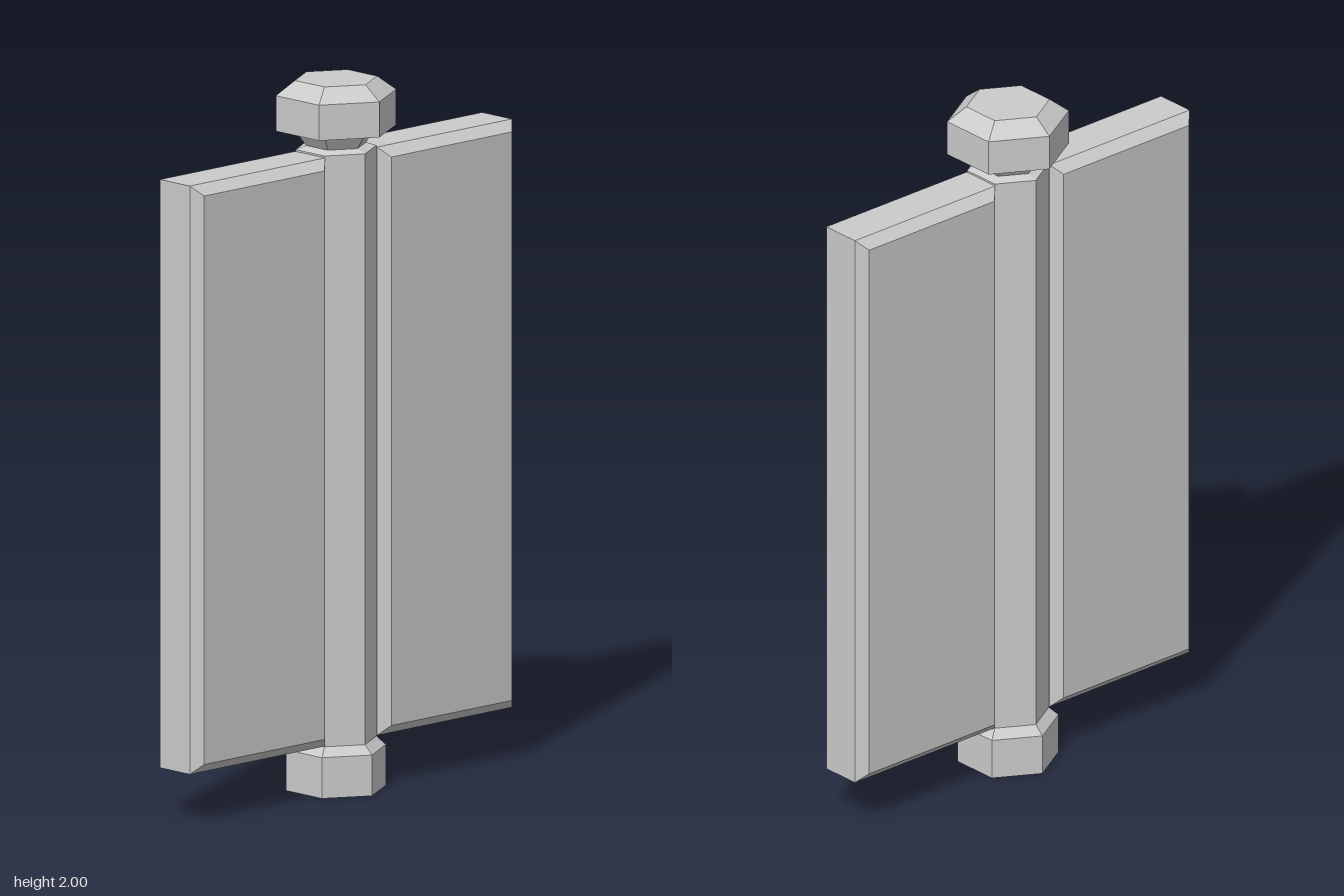
import * as THREE from 'three';

const material = new THREE.MeshStandardMaterial({ color: 0xcccccc, flatShading: true });

// Six-sided turned part from [radius, y] pairs, bottom to top
function hexTurned(name, profile) {
  const points = profile.map(([r, y]) => new THREE.Vector2(r, y));
  const mesh = new THREE.Mesh(new THREE.LatheGeometry(points, 6), material);
  mesh.name = name;
  return mesh;
}

// Flat plate with a mitred chamfer around both faces
function plate(name, x0, x1, y0, y1, depth, bevel) {
  const shape = new THREE.Shape();
  shape.moveTo(x0 + bevel, y0 + bevel);
  shape.lineTo(x1 - bevel, y0 + bevel);
  shape.lineTo(x1 - bevel, y1 - bevel);
  shape.lineTo(x0 + bevel, y1 - bevel);
  shape.closePath();
  const core = depth - 2 * bevel;
  const geometry = new THREE.ExtrudeGeometry(shape, {
    depth: core, bevelEnabled: true, bevelSize: bevel, bevelThickness: bevel, bevelSegments: 1,
  });
  geometry.translate(0, 0, -core / 2);
  const mesh = new THREE.Mesh(geometry, material);
  mesh.name = name;
  return mesh;
}

export function createModel() {
  const model = new THREE.Group();
  model.name = 'hinge';

  // Hexagonal foot, shaft, neck and cap
  model.add(hexTurned('foot', [[0, 0], [0.142, 0], [0.142, 0.115], [0.115, 0.14], [0, 0.14]]));
  model.add(hexTurned('shaft', [[0.115, 0.14], [0.115, 1.805], [0.085, 1.815]]));
  model.add(hexTurned('neck', [[0.085, 1.815], [0.117, 1.86]]));
  model.add(hexTurned('cap', [[0, 1.86], [0.171, 1.86], [0.171, 1.96], [0.117, 2], [0, 2]]));

  // Leaves on both sides of the shaft
  model.add(plate('leftLeaf', 0.1, 0.618, 0.142, 1.8, 0.174, 0.028));
  model.add(plate('rightLeaf', -0.618, -0.1, 0.142, 1.8, 0.174, 0.028));

  return model;
}
